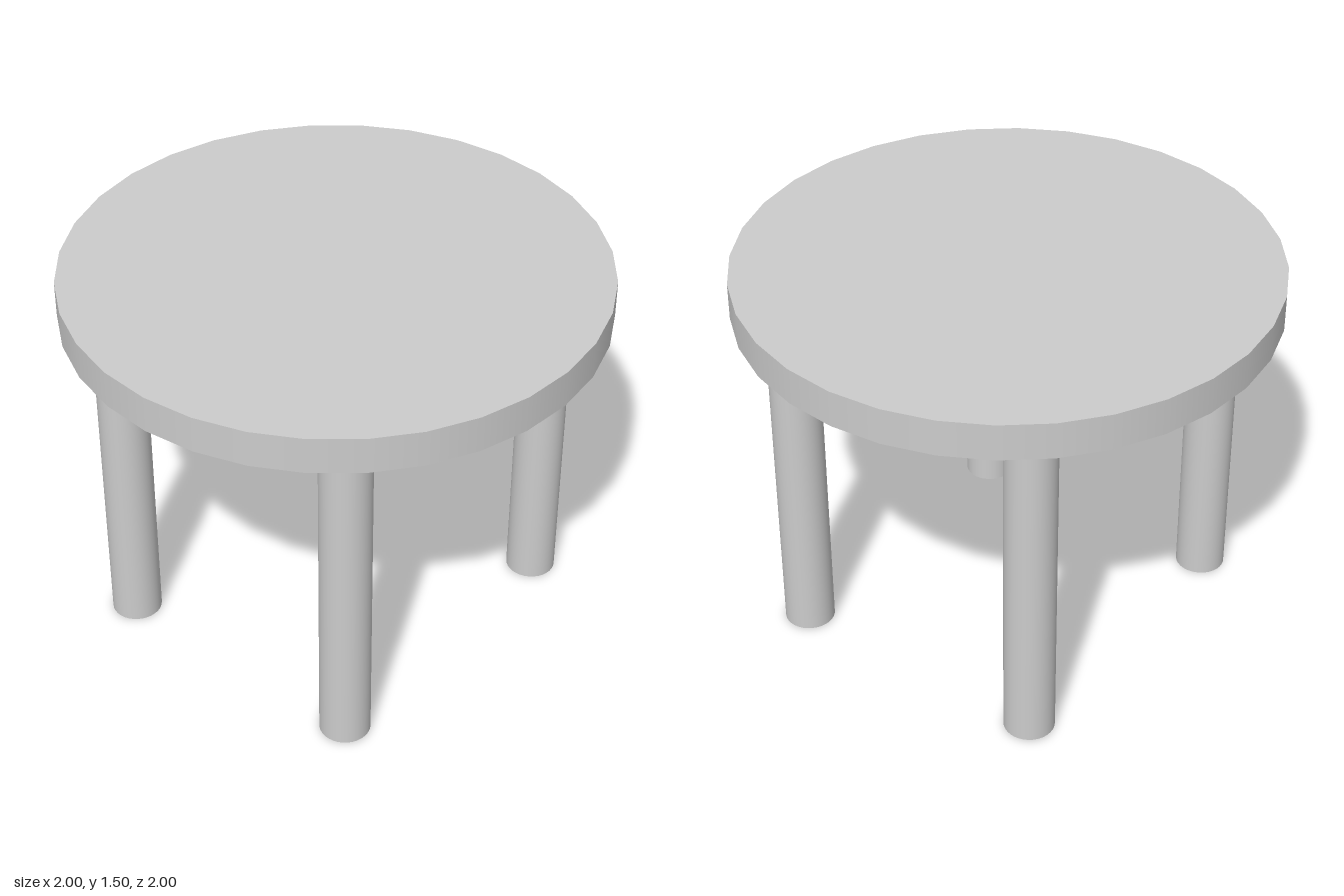
import * as THREE from 'three';

const TOP_Y = 1.5;      // height of the table
const UNDER_Y = 1.36;   // underside of the top
const LEG_R = 0.095;

export function createModel() {
  const table = new THREE.Group();
  table.name = 'roundTable';
  const material = new THREE.MeshStandardMaterial({ color: 0xcccccc });

  // Upright cylinder standing between two heights
  const addCylinder = (name, radius, y0, y1, x = 0, z = 0) => {
    const geometry = new THREE.CylinderGeometry(radius, radius, y1 - y0, 32);
    const mesh = new THREE.Mesh(geometry, material);
    mesh.name = name;
    mesh.position.set(x, (y0 + y1) / 2, z);
    table.add(mesh);
  };

  // Round top
  addCylinder('tableTop', 1, UNDER_Y, TOP_Y);

  // Four legs, set a little wider across x than along z
  for (const [side, sx] of [['Left', 1], ['Right', -1]]) {
    for (const [end, sz] of [['front', 1], ['back', -1]]) {
      addCylinder(`${end}${side}Leg`, LEG_R, 0, UNDER_Y, sx * 0.59, sz * 0.525);
    }
  }

  return table;
}
